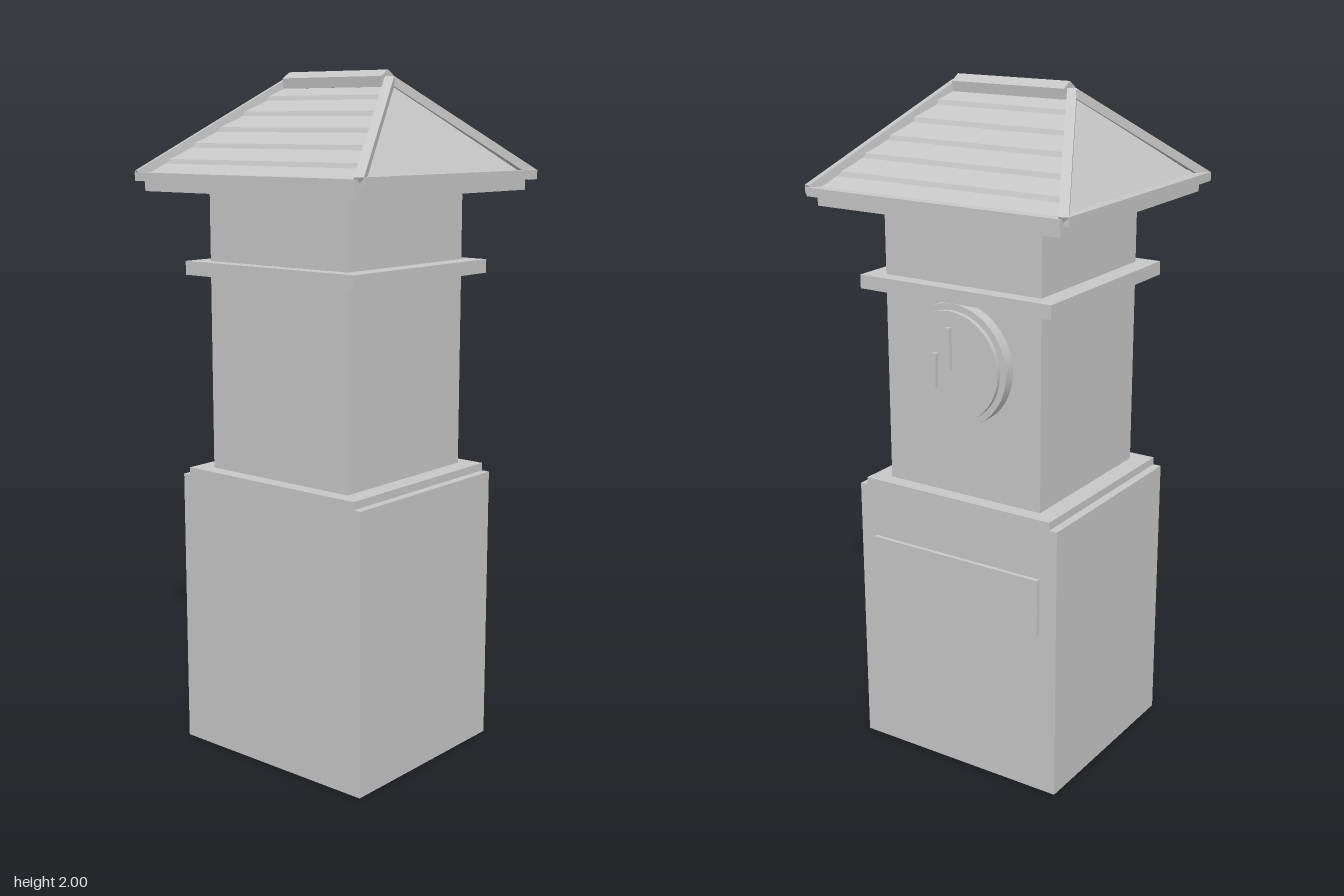
import * as THREE from 'three';
import { ConvexGeometry } from 'three/addons/geometries/ConvexGeometry.js';

const stone = new THREE.MeshStandardMaterial({ color: 0xc6c6c6 });
stone.name = 'pale grey stone';

export function createModel() {
  const tower = new THREE.Group();
  tower.name = 'clockTower';

  const add = (name, geometry, parent = tower) => {
    const mesh = new THREE.Mesh(geometry, stone);
    mesh.name = name;
    parent.add(mesh);
    return mesh;
  };
  // Block standing between two heights, centred on the tower axis
  const block = (name, w, d, y0, y1) => {
    add(name, new THREE.BoxGeometry(w, y1 - y0, d)).position.set(0, (y0 + y1) / 2, 0.002);
  };
  // Square bar running from one point to another
  const bar = (name, a, b, w, h, parent = tower) => {
    const from = new THREE.Vector3(...a), to = new THREE.Vector3(...b);
    const mesh = add(name, new THREE.BoxGeometry(w, h, from.distanceTo(to)), parent);
    mesh.position.copy(from).lerp(to, 0.5);
    mesh.lookAt(to);
  };

  // Tower body
  block('base', 0.68, 0.608, 0, 0.83);
  block('baseLedge', 0.63, 0.608, 0.83, 0.853);
  block('shaft', 0.515, 0.518, 0.853, 1.67);
  block('upperBand', 0.63, 0.608, 1.425, 1.465);
  block('eavesBoard', 0.78, 0.77, 1.665, 1.697);

  // Plaque on the back of the base
  add('plaque', new THREE.BoxGeometry(0.57, 0.17, 0.02)).position.set(0, 0.59, -0.305);

  // Clock on the back of the shaft
  const clock = new THREE.Group();
  clock.name = 'clock';
  clock.position.set(0, 1.25, 0);
  tower.add(clock);
  const disc = (name, r, z0, z1) => {
    const geometry = new THREE.CylinderGeometry(r, r, z1 - z0, 48);
    geometry.rotateX(-Math.PI / 2);
    add(name, geometry, clock).position.z = -(z0 + z1) / 2;
  };
  disc('clockMount', 0.15, 0.25, 0.27);
  disc('clockRim', 0.175, 0.268, 0.303);
  disc('clockFace', 0.157, 0.303, 0.317);
  bar('minuteHand', [0, -0.008, -0.322], [0, 0.112, -0.322], 0.016, 0.014, clock);
  bar('hourHand', [0, 0, -0.322], [0.095, -0.034, -0.322], 0.014, 0.016, clock);

  // Hipped roof core
  const corners = [];
  for (const x of [-1, 1]) {
    corners.push(new THREE.Vector3(x * 0.19, 1.96, 0));
    for (const z of [-1, 1]) corners.push(new THREE.Vector3(x * 0.4, 1.697, z * 0.395));
  }
  add('roofCore', new ConvexGeometry(corners));

  // Lapped boards: six shallow courses, each ending in a steep riser
  const profile = [];
  for (let i = 0; i < 6; i++) {
    const z = i * 0.066, y = 1.963 - i * 0.0443;
    profile.push([z, y], [z + 0.06, y - 0.031]);
  }
  profile.push([0.396, 1.697]);
  const points = [];
  for (let i = 0; i < profile.length - 1; i++) {
    const [[z0, y0], [z1, y1]] = [profile[i], profile[i + 1]];
    const w0 = 0.19 + 0.53 * z0, w1 = 0.19 + 0.53 * z1;
    points.push(-w0, y0, z0, -w1, y1, z1, w1, y1, z1);
    points.push(-w0, y0, z0, w1, y1, z1, w0, y0, z0);
  }
  const boards = new THREE.BufferGeometry();
  boards.setAttribute('position', new THREE.Float32BufferAttribute(points, 3));
  boards.computeVertexNormals();
  add('frontRoofBoards', boards);
  add('backRoofBoards', boards).rotation.y = Math.PI;

  // Hip and eaves trim
  for (const s of [-1, 1]) {
    for (const t of [-1, 1]) {
      bar('hipTrim', [s * 0.407, 1.712, t * 0.397], [s * 0.19, 1.972, 0], 0.026, 0.024);
    }
    bar('sideEavesTrim', [s * 0.408, 1.71, -0.395], [s * 0.408, 1.71, 0.395], 0.03, 0.026);
    bar('endEavesTrim', [-0.405, 1.706, s * 0.397], [0.405, 1.706, s * 0.397], 0.03, 0.024);
  }

  // Peaked ridge cap
  const cap = new THREE.Shape([[0, 2], [-0.03, 1.982], [-0.026, 1.953], [0.026, 1.953], [0.03, 1.982]]
    .map(([x, y]) => new THREE.Vector2(x, y)));
  const ridge = new THREE.ExtrudeGeometry(cap, { depth: 0.366, bevelEnabled: false });
  ridge.translate(0, 0, -0.183);
  ridge.rotateY(Math.PI / 2);
  add('ridgeCap', ridge);

  return tower;
}
